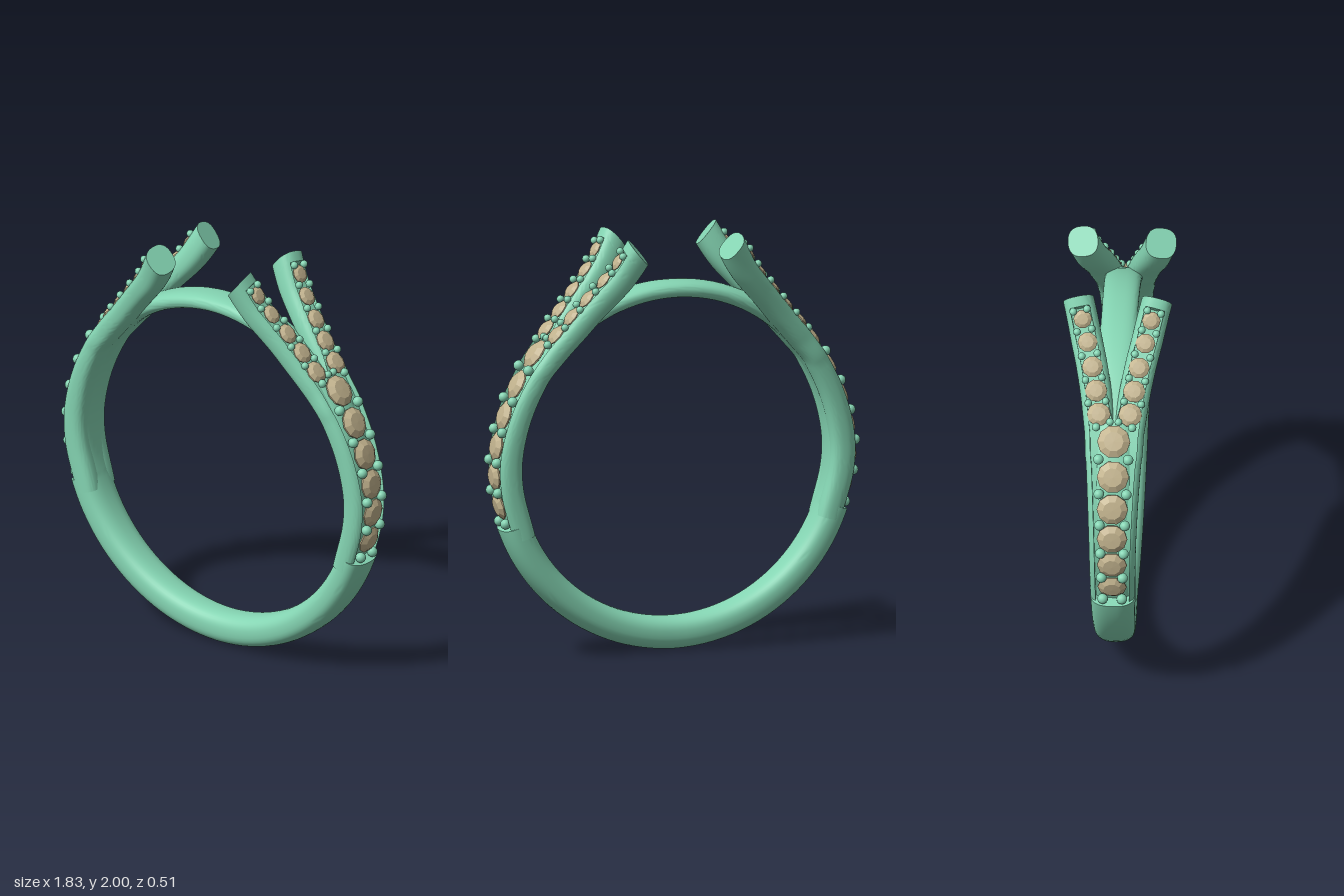
import * as THREE from 'three';
import { toCreasedNormals } from 'three/addons/utils/BufferGeometryUtils.js';

const V = (x, y, z) => new THREE.Vector3(x, y, z);
const metal = new THREE.MeshStandardMaterial({ color: 0x84d4b2 });
const stone = new THREE.MeshStandardMaterial({ color: 0xc2b38e, flatShading: true });
const CENTRE_Y = 0.92, INNER_R = 0.765;

// Rounded band outline: u across, v from the inner face (0) to the outer face (t)
const P = 0.8;
const spow = (c) => Math.sign(c) * Math.abs(c) ** P;
const outline = (a, w, t) => [w * spow(Math.cos(a)), t / 2 + (t / 2) * spow(Math.sin(a))];
const angleAt = (u, w) => Math.acos(THREE.MathUtils.clamp(Math.sign(u) * Math.abs(u / w) ** (1 / P), -1, 1));

// Skin a list of equal-length rings, closed on itself or capped at both ends
function skin(rings, closed) {
  const n = rings[0].length, m = rings.length, pts = rings.flat(), idx = [];
  for (let i = 0; i < (closed ? m : m - 1); i++) {
    for (let j = 0; j < n; j++) {
      const a = i * n + j, b = i * n + (j + 1) % n, k = ((i + 1) % m) * n;
      const c = k + j, d = k + (j + 1) % n;
      idx.push(a, b, d, a, d, c);
    }
  }
  if (!closed) {
    for (const i of [0, m - 1]) {
      const mid = rings[i].reduce((s, p) => s.add(p), V(0, 0, 0)).divideScalar(n);
      pts.push(mid);
      for (let j = 0; j < n; j++) {
        const a = i * n + j, b = i * n + (j + 1) % n;
        idx.push(pts.length - 1, ...(i ? [a, b] : [b, a]));
      }
    }
  }
  // Turn the faces outward whichever way the rings run
  let volume = 0;
  for (let i = 0; i < idx.length; i += 3) {
    volume += pts[idx[i]].dot(V(0, 0, 0).crossVectors(pts[idx[i + 1]], pts[idx[i + 2]]));
  }
  if (volume < 0) idx.reverse();
  const g = new THREE.BufferGeometry().setFromPoints(pts);
  g.setIndex(idx);
  return toCreasedNormals(g, 0.6);
}

// Hoop: thick at the bottom, stepped down under the stones, thin over the top
function hoopGeometry() {
  const step = 1.235, angles = [-step - 0.002, -step, step, step + 0.002];
  for (let i = 0; i < 120; i++) angles.push(-Math.PI + (i * Math.PI) / 60);
  angles.sort((a, b) => a - b);
  const rings = angles.map((phi) => {
    const f = Math.abs(phi), low = f <= step;
    const k = low ? f / step : (f - step) / (Math.PI - step);
    const t = low ? 0.155 - 0.01 * k : 0.095 - 0.015 * k;
    const w = low ? 0.085 + 0.02 * k : 0.095 - 0.01 * k;
    return Array.from({ length: 40 }, (_, j) => {
      const [u, v] = outline((j * Math.PI) / 20, w, t), r = INNER_R + v;
      return V(r * Math.sin(phi), CENTRE_Y - r * Math.cos(phi), u);
    });
  });
  return skin(rings, true);
}

// Arm stations: outer x, y, centre z, half width, thickness, inner rail (0 none, 1 full)
const STATIONS = [
  [0.815, 0.57, 0.052, 0.053, 0.115, 0],
  [0.88, 0.8, 0.054, 0.054, 0.12, 0],
  [0.887, 0.97, 0.055, 0.056, 0.12, 0],
  [0.838, 1.18, 0.058, 0.061, 0.115, 0],
  [0.748, 1.37, 0.062, 0.068, 0.11, 0],
  [0.66, 1.495, 0.069, 0.072, 0.115, 0.15],
  [0.56, 1.615, 0.087, 0.074, 0.12, 0.9],
  [0.445, 1.755, 0.12, 0.074, 0.125, 1],
  [0.36, 1.86, 0.152, 0.074, 0.13, 1],
  [0.28, 2.0, 0.19, 0.073, 0.136, 1],
];
const path = new THREE.CatmullRomCurve3(STATIONS.map((s) => V(s[0], s[1], s[2])));
const sizes = new THREE.CatmullRomCurve3(STATIONS.map((s) => V(s[3], s[4], s[5])));

function frame(s) {
  const p = path.getPoint(s), T = path.getTangent(s);
  const L = V(0, 0, 1).addScaledVector(T, -T.z).normalize();
  return { p, T, L, N: V(0, 0, 0).crossVectors(T, L) };
}

function paramAtY(y) {
  let a = 0, b = 1;
  for (let i = 0; i < 30; i++) {
    const m = (a + b) / 2;
    if (path.getPoint(m).y < y) a = m; else b = m;
  }
  return a;
}

// Arm: swept band with a stone channel along its outer face
function armGeometry(sx, sz) {
  const end = paramAtY(1.955), params = [end, end + 0.002];
  for (let i = 0; i <= 70; i++) params.push(i / 70);
  params.sort((a, b) => a - b);
  const rings = params.map((s) => {
    const { p, T, L, N } = frame(s), size = sizes.getPoint(s);
    const w = size.x, t = size.y, rail = THREE.MathUtils.clamp(size.z, 0, 1);
    const g1 = w - 0.027, g0 = -w + 0.027 * rail, depth = s > end + 0.001 ? 0 : 0.035;
    const a1 = angleAt(g1, w), a0 = angleAt(g0, w) - 2 * Math.PI, section = [];
    for (let j = 0; j <= 32; j++) section.push(outline(a1 + ((a0 - a1) * j) / 32, w, t));
    for (let j = 0; j <= 8; j++) {
      const u = g0 + ((g1 - g0) * j) / 8;
      section.push([u, Math.min(outline(angleAt(u, w), w, t)[1], t - depth)]);
    }
    const slant = 0.35 * THREE.MathUtils.smoothstep(s, 0.8, 1);
    return section.map(([u, v]) => p.clone().addScaledVector(L, u)
      .addScaledVector(N, v - t).addScaledVector(T, -slant * (t - v))
      .multiply(V(sx, 1, sz)));
  });
  return skin(rings, false);
}

// Faceted round stone of radius 1, table facing +y
const gemGeometry = new THREE.LatheGeometry(
  [[0, -0.5], [1, -0.08], [1, 0.02], [0.6, 0.28], [0, 0.3]].map((q) => new THREE.Vector2(...q)), 10);
const beadGeometry = new THREE.SphereGeometry(1, 14, 10);

export function createModel() {
  const model = new THREE.Group();
  model.name = 'ring';
  const add = (name, geometry, material) => {
    const mesh = new THREE.Mesh(geometry, material);
    mesh.name = name;
    model.add(mesh);
    return mesh;
  };

  // Set a stone or bead on the outer face; u is the offset across the row
  function place(name, y, u, r, lift, sx, sz, onArm) {
    const { p, L, N } = frame(paramAtY(y));
    if (!onArm) {
      p.z = 0;
      L.set(0, 0, 1);
      N.setZ(0).normalize();
    }
    p.addScaledVector(L, u).addScaledVector(N, lift);
    const gem = name.endsWith('Stone'), flip = V(sx, 1, sz);
    const mesh = add(name, gem ? gemGeometry : beadGeometry, gem ? stone : metal);
    mesh.position.copy(p.multiply(flip));
    mesh.quaternion.setFromUnitVectors(V(0, 1, 0), N.multiply(flip));
    mesh.scale.setScalar(r);
  }

  add('hoop', hoopGeometry(), metal);
  for (const sx of [1, -1]) {
    const side = sx > 0 ? 'left' : 'right';
    // Single row up the side, with bead pairs between the stones
    [0.735, 0.88, 1.025, 1.17, 1.315, 1.457].forEach((y, i) =>
      place(side + 'ShankStone', y, 0, 0.068 + 0.002 * i, -0.005, sx, 1, false));
    for (const sz of [1, -1]) {
      [0.657, 0.807, 0.952, 1.097, 1.242, 1.388].forEach((y, i) =>
        place(side + 'ShankBead', y, 0.045 + 0.005 * i, 0.025, 0.003, sx, sz, false));
      place(side + 'ForkBead', 1.53, 0.02, 0.018, 0, sx, sz, false);
      place(side + 'ForkBead', 1.51, 0.085, 0.02, 0, sx, sz, false);

      // Split arms, each with its own tapering row
      const arm = side + (sz > 0 ? 'Front' : 'Back');
      add(arm + 'Arm', armGeometry(sx, sz), metal);
      [1.557, 1.642, 1.728, 1.817, 1.905].forEach((y, i) =>
        place(arm + 'Stone', y, -0.003, 0.056 - 0.003 * i, -0.005, sx, sz, true));
      [1.6, 1.685, 1.772, 1.861, 1.942].forEach((y, i) => {
        for (const u of [-1, 1]) place(arm + 'Bead', y, u * (0.041 - 0.002 * i), 0.018, 0, sx, sz, true);
      });
    }
  }
  return model;
}
